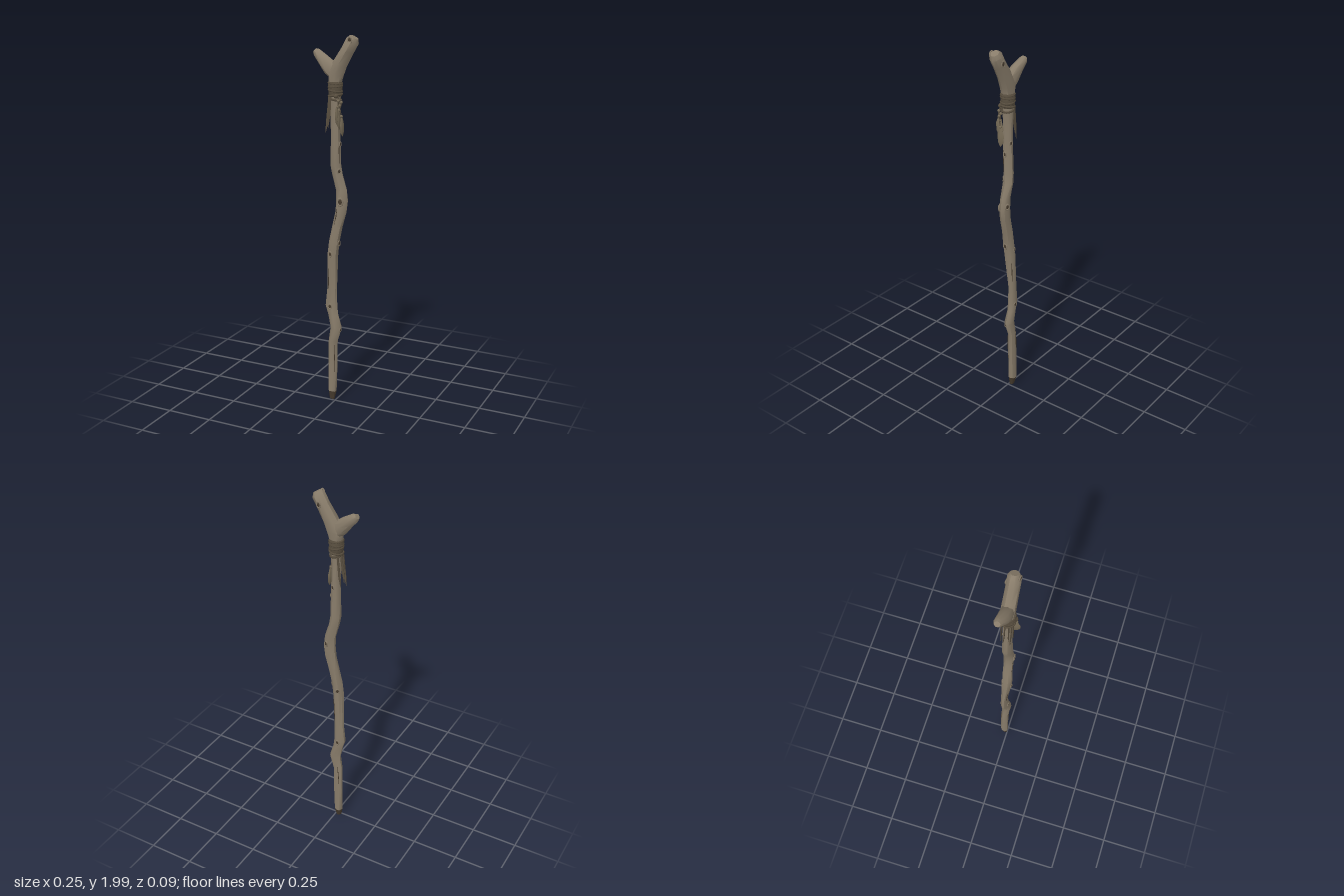
import * as THREE from 'three';
import { mergeVertices, toCreasedNormals } from 'three/addons/utils/BufferGeometryUtils.js';

const material = (name, color, side = THREE.FrontSide) => {
  const m = new THREE.MeshStandardMaterial({ color, side });
  m.name = name;
  return m;
};

// Loft of elliptical sections [x, y, z, radiusX, radiusZ, tilt], rising in y, capped at both ends
function loft(rows, sides = 9, wobble = 0) {
  const pos = [], index = [];
  rows.forEach(([x, y, z, rx, rz, tilt = 0], j) => {
    for (let i = 0; i < sides; i++) {
      const a = (i / sides) * Math.PI * 2;
      const k = 1 + wobble * Math.sin(i * 2.4 + j * 0.7);
      const u = Math.cos(a) * rx * k;
      pos.push(x + u * Math.cos(tilt), y + u * Math.sin(tilt), z + Math.sin(a) * rz * k);
    }
  });
  for (let j = 0; j < rows.length - 1; j++) {
    for (let i = 0; i < sides; i++) {
      const a = j * sides + i, b = j * sides + (i + 1) % sides;
      index.push(a, a + sides, b, b, a + sides, b + sides);
    }
  }
  const last = (rows.length - 1) * sides;
  for (let i = 1; i < sides - 1; i++) {
    index.push(0, i, i + 1, last, last + i + 1, last + i);
  }
  const g = new THREE.BufferGeometry();
  g.setAttribute('position', new THREE.Float32BufferAttribute(pos, 3));
  g.setIndex(index);
  return toCreasedNormals(mergeVertices(g), 0.75);
}

const shaftRows = [
  [-0.022, 0.05, -0.016, 0.023, 0.021],
  [-0.02, 0.2, -0.016, 0.026, 0.021],
  [-0.018, 0.35, -0.014, 0.026, 0.022],
  [0.002, 0.43, -0.01, 0.032, 0.026],
  [-0.016, 0.5, -0.013, 0.029, 0.022],
  [-0.026, 0.55, -0.013, 0.034, 0.021],
  [-0.022, 0.65, -0.015, 0.028, 0.018],
  [-0.012, 0.85, -0.004, 0.029, 0.028],
  [-0.003, 0.92, -0.002, 0.029, 0.028],
  [0.012, 1.0, -0.005, 0.029, 0.026],
  [0.031, 1.08, -0.006, 0.031, 0.026],
  [0.037, 1.14, -0.006, 0.032, 0.028],
  [0.033, 1.2, -0.007, 0.03, 0.026],
  [0.01, 1.28, -0.008, 0.028, 0.028],
  [0.003, 1.33, -0.006, 0.029, 0.027],
  [0.004, 1.45, -0.004, 0.026, 0.025],
  [0.002, 1.6, -0.002, 0.024, 0.024],
  [0.002, 1.7, 0, 0.03, 0.029],
  [0.002, 1.76, 0, 0.035, 0.033],
  [0.005, 1.8, 0, 0.043, 0.037, -0.15],
  [0.03, 1.855, 0, 0.038, 0.036, -0.45],
  [0.07, 1.92, 0, 0.034, 0.034, -0.55],
  [0.097, 1.966, 0, 0.035, 0.033, -0.5],
  [0.106, 1.984, 0, 0.023, 0.022, -0.5],
];

const forkRows = [
  [0.005, 1.785, 0, 0.032, 0.03, 0.2],
  [-0.022, 1.823, 0, 0.042, 0.035, 0.7],
  [-0.068, 1.866, -0.003, 0.031, 0.031, 0.8],
  [-0.108, 1.9, -0.012, 0.022, 0.022, 0.85],
  [-0.118, 1.909, -0.012, 0.014, 0.015, 0.9],
];

// Interpolated shaft section at height y
function sectionAt(y) {
  const j = Math.max(1, shaftRows.findIndex((r) => r[1] >= y));
  const a = shaftRows[j - 1], b = shaftRows[j];
  const t = (y - a[1]) / (b[1] - a[1]);
  return a.slice(0, 5).map((v, i) => v + (b[i] - v) * t);
}

export function createModel() {
  const group = new THREE.Group();
  const wood = material('weathered wood', 0x887c6a);
  const dark = material('dark knot wood', 0x453a2d);
  const leather = material('leather wrap', 0x584e3f, THREE.DoubleSide);
  const feather = material('feather', 0x766b57, THREE.DoubleSide);
  const add = (name, geometry, mat, parent = group) => {
    const mesh = new THREE.Mesh(geometry, mat);
    mesh.name = name;
    parent.add(mesh);
    return mesh;
  };

  // Crooked shaft with its forked top
  add('shaft', loft(shaftRows, 9, 0.05), wood);
  add('leftFork', loft(forkRows, 9, 0.04), wood);
  add('brokenFoot', loft([
    [-0.023, 0.006, -0.013, 0.015, 0.013, -0.35],
    [-0.022, 0.052, -0.016, 0.023, 0.021],
  ], 9, 0.05), dark);

  // Knots: a raised wooden rim around a dark hollow; angle runs from +x towards +z
  const knots = [
    [1.14, 1.5, 1.3], [0.85, 1.8, 0.9], [0.55, 1.6, 0.9], [1.97, 1.75, 1.1],
    [0.91, 0.1, 1], [1.44, 0.1, 0.8], [0.42, 0.2, 0.7], [1.3, 0.7, 0.8],
    [1.16, -1.2, 1], [0.88, -2.0, 0.9], [0.54, -1.5, 0.9], [1.5, -1.3, 0.8], [1.93, -1.4, 1],
  ];
  for (const [y, angle, size] of knots) {
    const [x, , z, rx, rz] = sectionAt(y);
    const knot = new THREE.Group();
    knot.name = 'knot';
    knot.position.set(x + Math.cos(angle) * rx * 0.96, y, z + Math.sin(angle) * rz * 0.96);
    knot.rotation.y = Math.PI / 2 - angle;
    knot.scale.set(size, size * 1.35, size);
    add('knotRim', new THREE.TorusGeometry(0.011, 0.0035, 5, 9), wood, knot);
    add('knotHollow', new THREE.SphereGeometry(0.01, 8, 6).scale(1, 1, 0.3), dark, knot);
    group.add(knot);
  }

  // Thin cracks along the grain
  for (const [y, angle, len] of [[0.25, 0.9, 0.16], [0.7, 2.2, 0.13], [1.06, 2.0, 0.1], [1.4, 0.5, 0.12], [0.3, -2, 0.15], [0.75, -0.9, 0.14]]) {
    const rows = [-0.5, 0, 0.5].map((t) => {
      const [x, yy, z, rx, rz] = sectionAt(y + t * len);
      const r = t ? 0.0008 : 0.003;
      return [x + Math.cos(angle) * rx * 0.97, y + t * len, z + Math.sin(angle) * rz * 0.97, r, r];
    });
    add('crack', loft(rows, 5), dark);
  }

  // Leather binding below the fork
  add('bindingSleeve', loft([
    [0.002, 1.685, 0, 0.032, 0.032],
    [0.002, 1.7, 0, 0.035, 0.036],
    [0.002, 1.75, 0, 0.038, 0.038],
    [0.002, 1.76, 0, 0.035, 0.035],
  ], 12), leather);
  [[1.692, 0.16], [1.715, -0.14], [1.735, 0.1], [1.752, -0.06], [1.672, -0.22]].forEach(([y, tilt], i) => {
    const turn = add('bindingTurn', new THREE.TorusGeometry(i === 4 ? 0.03 : 0.034, 0.006, 5, 14), leather);
    turn.position.set(0.002, y, 0);
    turn.rotation.set(Math.PI / 2, tilt, 0);
  });
  const tie = add('bindingKnot', new THREE.SphereGeometry(0.012, 8, 6), leather);
  tie.position.set(0.02, 1.69, 0.032);

  // Frayed strips on the right side: [top x, top z, tip x, tip y, tip z]
  for (const [x, z, tx, ty, tz] of [
    [-0.02, 0.024, -0.042, 1.5, 0.022], [-0.027, 0.012, -0.034, 1.52, 0.012],
    [-0.026, -0.006, -0.048, 1.53, -0.008], [-0.012, 0.03, -0.02, 1.55, 0.031],
    [-0.018, -0.026, -0.036, 1.51, -0.024],
  ]) {
    add('leatherStrip', loft([
      [tx, ty, tz, 0.001, 0.001],
      [(x + 2 * tx) / 3, ty + 0.05, (z + 2 * tz) / 3, 0.007, 0.003],
      [x, 1.69, z, 0.006, 0.003],
    ], 5), leather);
  }

  // Cords, beads and feathers hanging on the left side
  for (const [x, z, tx, ty, tz] of [
    [0.028, 0.02, 0.047, 1.485, 0.012], [0.032, 0.008, 0.035, 1.52, 0.024], [0.024, 0.026, 0.03, 1.54, 0.034],
  ]) {
    const tassel = new THREE.Group();
    tassel.name = 'featherTassel';
    const top = ty + 0.1;
    const cord = new THREE.CatmullRomCurve3([
      new THREE.Vector3(x, 1.69, z),
      new THREE.Vector3(x + 0.01, (1.69 + top) / 2, z + 0.006),
      new THREE.Vector3(tx - 0.003, top - 0.01, tz),
    ]);
    add('cord', new THREE.TubeGeometry(cord, 8, 0.003, 5), leather, tassel);
    [0.45, 0.9].forEach((t) => {
      const bead = add('bead', new THREE.SphereGeometry(0.008, 8, 6), feather, tassel);
      bead.position.copy(cord.getPoint(t));
    });
    add('feather', loft([
      [tx, ty, tz, 0.001, 0.002],
      [tx - 0.001, ty + 0.022, tz, 0.007, 0.017],
      [tx - 0.003, ty + 0.06, tz, 0.008, 0.02],
      [tx - 0.004, ty + 0.1, tz, 0.003, 0.005],
    ], 8), feather, tassel);
    group.add(tassel);
  }
  return group;
}
